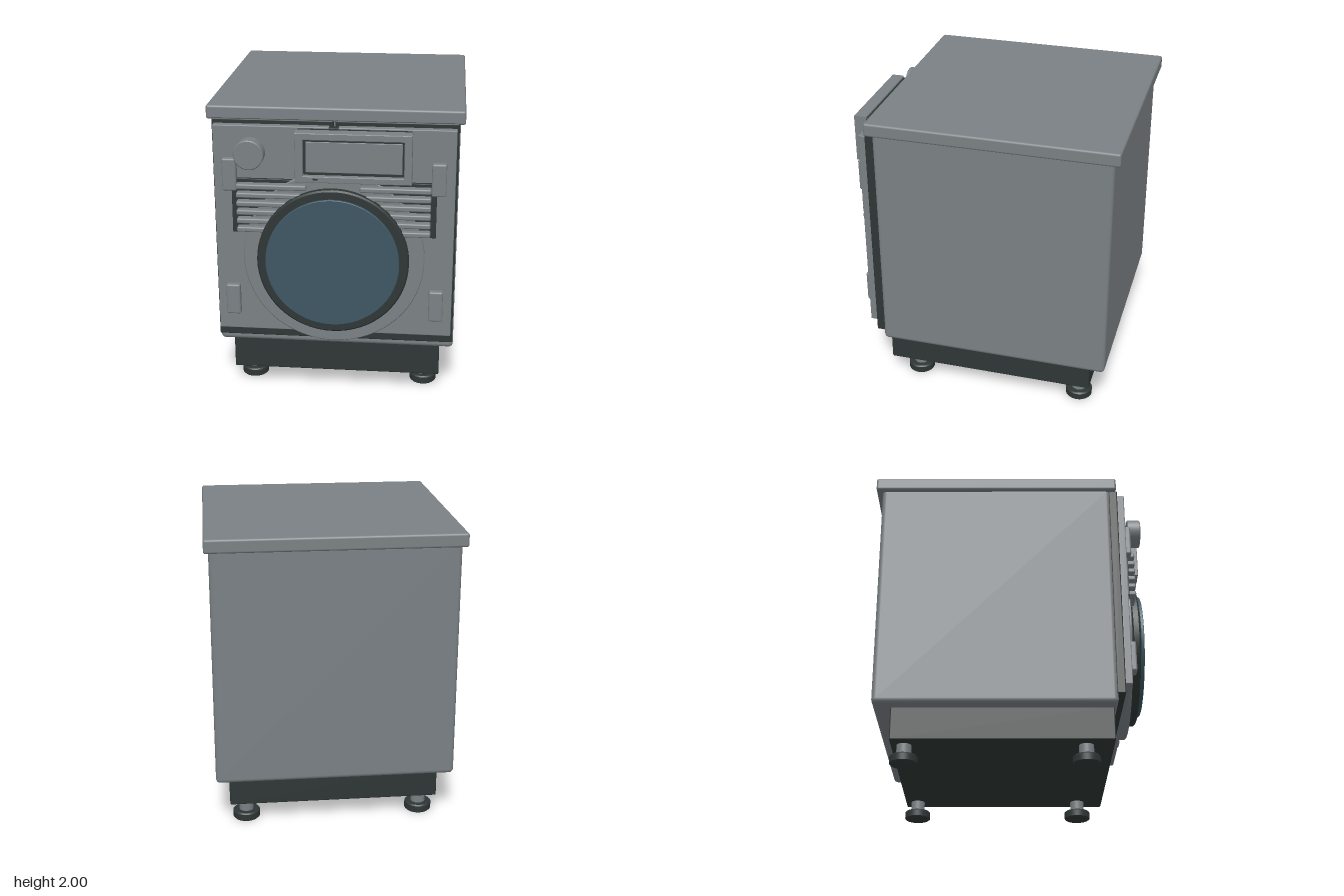
import * as THREE from 'three';
import { RoundedBoxGeometry } from 'three/addons/geometries/RoundedBoxGeometry.js';

const material = (name, color) => {
  const m = new THREE.MeshStandardMaterial({ color });
  m.name = name;
  return m;
};

export function createModel() {
  const model = new THREE.Group();
  model.name = 'washingMachine';
  const grey = material('casingGrey', 0x7a8084);
  const dark = material('trimDark', 0x2e3635);
  const glass = material('doorGlass', 0x3d5662);

  const add = (name, geometry, mat) => {
    const mesh = new THREE.Mesh(geometry, mat);
    mesh.name = name;
    model.add(mesh);
    return mesh;
  };

  // Rounded box given by its extents along each axis
  const box = (name, mat, [x0, x1], [y0, y1], [z0, z1], r = 0.008) => {
    const mesh = add(name, new RoundedBoxGeometry(x1 - x0, y1 - y0, z1 - z0, 3, r), mat);
    mesh.position.set((x0 + x1) / 2, (y0 + y1) / 2, (z0 + z1) / 2);
    return mesh;
  };

  // Disc with small chamfers, lying along y or facing the front
  const disc = (name, mat, r, depth, bevel, position, facing = true) => {
    const h = depth / 2;
    const points = [[0, -h], [r - bevel, -h], [r - bevel, -h], [r, bevel - h], [r, bevel - h],
      [r, h - bevel], [r, h - bevel], [r - bevel, h], [r - bevel, h], [0, h]]
      .map(([x, y]) => new THREE.Vector2(x, y));
    const mesh = add(name, new THREE.LatheGeometry(points, 64), mat);
    if (facing) mesh.rotation.x = Math.PI / 2;
    mesh.position.set(...position);
    return mesh;
  };

  // Casing, worktop and plinth
  box('body', grey, [-0.79, 0.79], [0.345, 1.93], [-0.88, 0.68], 0.03);
  box('worktop', grey, [-0.82, 0.82], [1.91, 2], [-0.92, 0.72], 0.015);
  box('plinth', dark, [-0.7, 0.7], [0.13, 0.36], [-0.765, 0.66], 0.008);

  // Feet
  for (const x of [-0.59, 0.59]) {
    for (const z of [-0.678, 0.48]) {
      disc('footPad', dark, 0.09, 0.058, 0.008, [x, 0.029, z], false);
      disc('footStem', grey, 0.048, 0.1, 0.002, [x, 0.1, z], false);
    }
  }

  // Front panels, latches and louvres, mirrored
  const mirrored = (name, mat, [x0, x1], y, z, r) => {
    box(name, mat, [x0, x1], y, z, r);
    box(name, mat, [-x1, -x0], y, z, r);
  };
  mirrored('backingPanel', dark, [0.006, 0.783], [0.41, 1.92], [0.67, 0.728], 0.008);
  mirrored('frontPanel', grey, [0.03, 0.77], [0.48, 1.89], [0.72, 0.775], 0.006);
  mirrored('upperLatch', grey, [0.62, 0.713], [1.465, 1.68], [0.765, 0.815], 0.012);
  mirrored('lowerLatch', grey, [0.62, 0.713], [0.6, 0.81], [0.765, 0.815], 0.012);
  mirrored('louvreRecess', dark, [0.25, 0.655], [1.18, 1.545], [0.765, 0.795], 0.004);
  for (let i = 0; i < 6; i++) {
    const y = 1.505 - i * 0.058;
    mirrored('louvreSlat', grey, [0.17 + i * 0.035, 0.62], [y - 0.017, y + 0.017], [0.785, 0.845], 0.01);
  }
  box('centreSeam', dark, [-0.03, 0.03], [1.6, 1.885], [0.72, 0.767], 0.004);

  // Door
  disc('doorSurround', grey, 0.588, 0.08, 0.006, [0, 1.02, 0.77]);
  disc('doorHub', dark, 0.04, 0.09, 0.002, [0, 1.05, 0.845]);
  disc('doorRim', dark, 0.49, 0.055, 0.01, [0, 1.02, 0.849]);
  disc('doorWindow', glass, 0.43, 0.022, 0.003, [0, 1.025, 0.897]);

  // Control display
  box('displayMount', dark, [-0.23, 0.495], [1.59, 1.88], [0.765, 0.835], 0.008);
  const frame = new THREE.Shape([[-0.225, 1.575], [0.493, 1.575], [0.493, 1.885], [-0.225, 1.885]]
    .map(([x, y]) => new THREE.Vector2(x, y)));
  frame.holes.push(new THREE.Path([[-0.185, 1.607], [-0.185, 1.85], [0.455, 1.85], [0.455, 1.607]]
    .map(([x, y]) => new THREE.Vector2(x, y))));
  const frameGeometry = new THREE.ExtrudeGeometry(frame, {
    depth: 0.076, bevelThickness: 0.005, bevelSize: 0.005, bevelSegments: 2,
  });
  add('displayFrame', frameGeometry, grey).position.z = 0.833;
  box('displayRecess', dark, [-0.19, 0.46], [1.6, 1.855], [0.835, 0.88], 0.004);
  box('displayScreen', grey, [-0.164, 0.438], [1.63, 1.827], [0.87, 0.888], 0.003);
  box('indicator', dark, [-0.117, -0.087], [1.588, 1.602], [0.909, 0.92], 0.004);

  // Programme knob
  disc('knobStem', dark, 0.05, 0.06, 0.002, [-0.525, 1.73, 0.79]);
  disc('knob', grey, 0.096, 0.09, 0.006, [-0.525, 1.73, 0.852]);

  return model;
}
